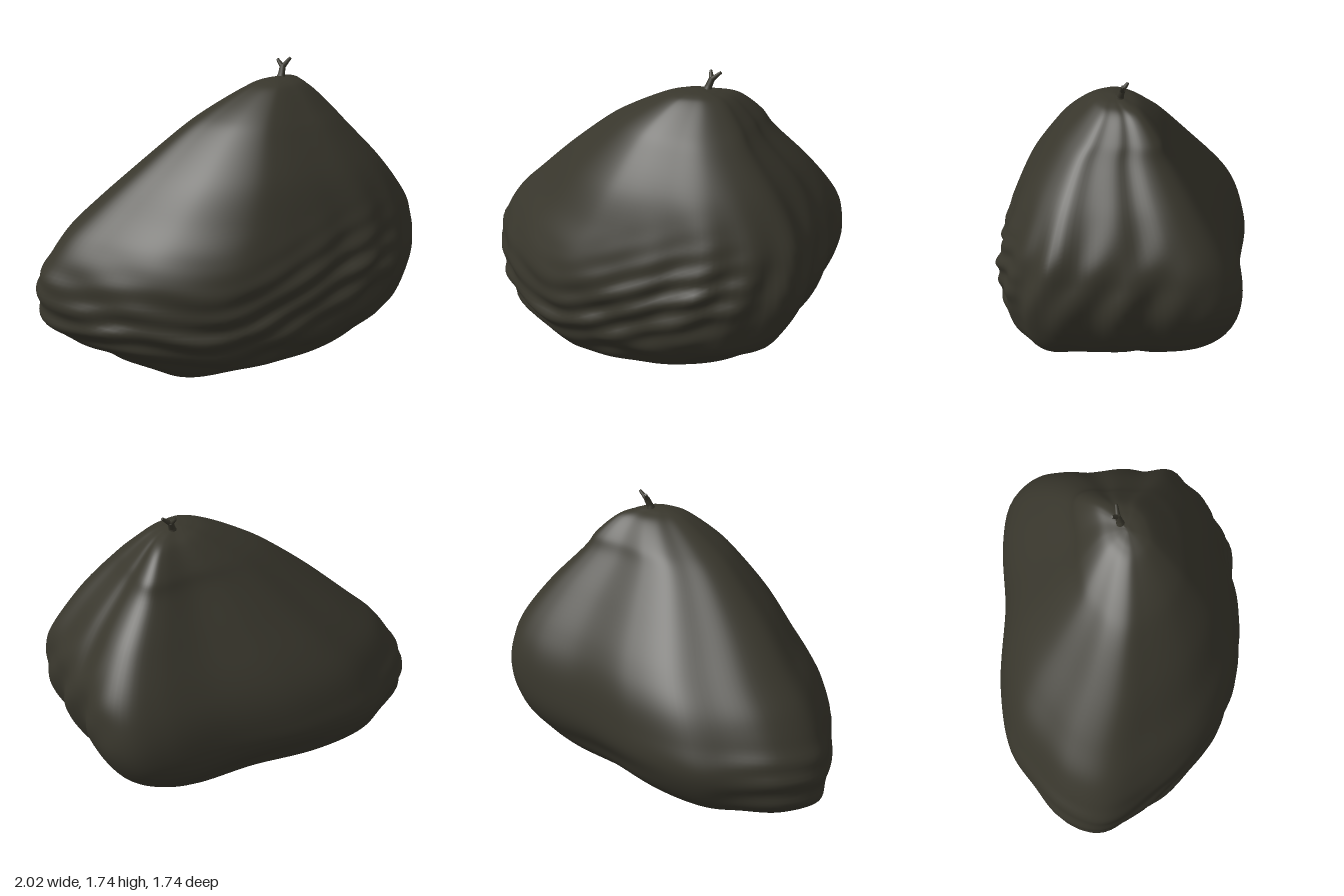
import * as THREE from 'three';
import { mergeVertices } from 'three/addons/utils/BufferGeometryUtils.js';

// Plan outline (x, z), counterclockwise from above
const OUTLINE = [
  [-1, 0.4], [-0.94, 0.62], [-0.7, 0.75], [-0.3, 0.86], [0.1, 0.83], [0.32, 0.73], [0.6, 0.53],
  [0.84, 0.31], [0.96, 0.07], [0.99, -0.15], [0.88, -0.3], [0.75, -0.5], [0.65, -0.59],
  [0.55, -0.75], [0.42, -0.85], [0.28, -0.87], [0.1, -0.79], [-0.2, -0.56], [-0.6, -0.31],
  [-0.85, -0.06], [-0.93, 0.15],
];

// Level sections: y, x min, x max, z min, z max
const LEVELS = [
  [0, -0.2, -0.19, 0.24, 0.26], [0.02, -0.29, -0.08, 0.08, 0.43], [0.1, -0.42, 0.22, -0.12, 0.6],
  [0.2, -0.64, 0.6, -0.4, 0.72], [0.3, -0.88, 0.77, -0.58, 0.8], [0.4, -0.97, 0.9, -0.72, 0.85],
  [0.55, -1, 0.97, -0.82, 0.86], [0.7, -0.93, 1, -0.86, 0.85], [0.85, -0.83, 0.985, -0.84, 0.79],
  [1, -0.68, 0.94, -0.77, 0.7], [1.2, -0.46, 0.81, -0.61, 0.58], [1.4, -0.23, 0.63, -0.42, 0.42],
  [1.5, -0.09, 0.53, -0.35, 0.32], [1.6, 0.08, 0.42, -0.23, 0.18], [1.635, 0.17, 0.35, -0.12, 0.1],
  [1.65, 0.25, 0.26, -0.01, 0.01],
];

const bump = (v, centre, width) => Math.exp(-(((v - centre) / width) ** 2));

// Folds on the lower front, upright creases on the right, a groove low on the back
function wrinkle(x, y, z) {
  const front = THREE.MathUtils.smoothstep(z, 0, 0.4);
  const rise = y - 0.2 * x - 0.22 * x * x + 0.02 * Math.sin(7 * x + 1);
  let d = 0.012 * front * bump(rise, 0.4, 0.22) * Math.sin(48 * rise + 1.6 * Math.sin(5 * x));
  d += 0.007 * front * bump(y, 0.4, 0.3) * Math.sin(13 * x + 21 * y);
  const right = THREE.MathUtils.smoothstep(x, 0.4, 0.75);
  d += 0.014 * right * bump(y, 0.75, 0.3) * Math.sin(30 * z + 5 * y + Math.sin(8 * y));
  d -= 0.015 * THREE.MathUtils.smoothstep(-z, 0.1, 0.4) * bump(y + 0.1 * x, 0.4, 0.06);
  return d + 0.006 * bump(y, 0.1, 0.15) * Math.sin(17 * x + 3) * Math.sin(15 * z);
}

function boulderGeometry() {
  const around = 140, up = 110;
  const plan = new THREE.CatmullRomCurve3(OUTLINE.map(([x, z]) => new THREE.Vector3(x, 0, z)), true);
  const curve = (a, b) => new THREE.CatmullRomCurve3(
    LEVELS.map((l) => new THREE.Vector3(l[a], l[0], l[b])), false, 'catmullrom', 0.5);
  const xRange = curve(1, 2), zRange = curve(3, 4);
  const ring = plan.getSpacedPoints(around);
  const positions = [], indices = [];
  for (let j = 0; j <= up; j++) {
    const xr = xRange.getPoint(j / up), zr = zRange.getPoint(j / up);
    const cx = (xr.x + xr.z) / 2, cz = (zr.x + zr.z) / 2;
    const pole = j === 0 || j === up;
    for (let i = 0; i < around; i++) {
      const p = ring[i];
      let x = pole ? cx : THREE.MathUtils.mapLinear(p.x, -1, 0.99, xr.x, xr.z);
      let z = pole ? cz : THREE.MathUtils.mapLinear(p.z, -0.87, 0.86, zr.x, zr.z);
      if (!pole) {
        const r = Math.hypot(x - cx, z - cz);
        const s = 1 + (wrinkle(x, xr.y, z) * Math.min(1, r * 2)) / r;
        x = cx + (x - cx) * s;
        z = cz + (z - cz) * s;
      }
      positions.push(x, xr.y, z);
      if (j < up) {
        const a = j * around + i, b = j * around + ((i + 1) % around);
        if (j > 0) indices.push(a, b, b + around);
        if (j < up - 1) indices.push(a, b + around, a + around);
        if (j === 0) indices.push(a, b + around, a + around);
        if (j === up - 1) indices.push(a, b, b + around);
      }
    }
  }
  // The top and bottom rows are fans, so drop triangles listed twice or collapsed
  const geometry = new THREE.BufferGeometry();
  geometry.setAttribute('position', new THREE.Float32BufferAttribute(positions, 3));
  geometry.setIndex(indices.length ? dedupe(indices) : indices);
  const merged = mergeVertices(geometry, 1e-5);
  merged.computeVertexNormals();
  return merged;
}

function dedupe(indices) {
  const seen = new Set(), out = [];
  for (let k = 0; k < indices.length; k += 3) {
    const key = indices.slice(k, k + 3).join();
    if (!seen.has(key)) out.push(...indices.slice(k, k + 3));
    seen.add(key);
  }
  return out;
}

export function createModel() {
  const group = new THREE.Group();
  const stone = new THREE.MeshStandardMaterial({ color: 0x38362c });
  stone.name = 'dark olive';

  const boulder = new THREE.Mesh(boulderGeometry(), stone);
  boulder.name = 'body';
  group.add(boulder);

  // Forked twig on the summit: flared foot, short stalk and two prongs
  const twig = new THREE.Group();
  twig.name = 'twig';
  const branch = (name, from, to, r0, r1) => {
    const a = new THREE.Vector3(...from), b = new THREE.Vector3(...to);
    const mesh = new THREE.Mesh(new THREE.CylinderGeometry(r1, r0, a.distanceTo(b), 10), stone);
    mesh.position.copy(a).add(b).multiplyScalar(0.5);
    mesh.quaternion.setFromUnitVectors(new THREE.Vector3(0, 1, 0), b.sub(a).normalize());
    mesh.name = name;
    twig.add(mesh);
  };
  branch('twigFoot', [0.265, 1.62, -0.045], [0.267, 1.66, -0.055], 0.03, 0.018);
  branch('twigStalk', [0.267, 1.65, -0.052], [0.27, 1.7, -0.075], 0.019, 0.016);
  branch('leftProng', [0.27, 1.69, -0.07], [0.307, 1.735, -0.105], 0.015, 0.008);
  branch('rightProng', [0.27, 1.69, -0.07], [0.238, 1.73, -0.085], 0.015, 0.008);
  group.add(twig);
  return group;
}
